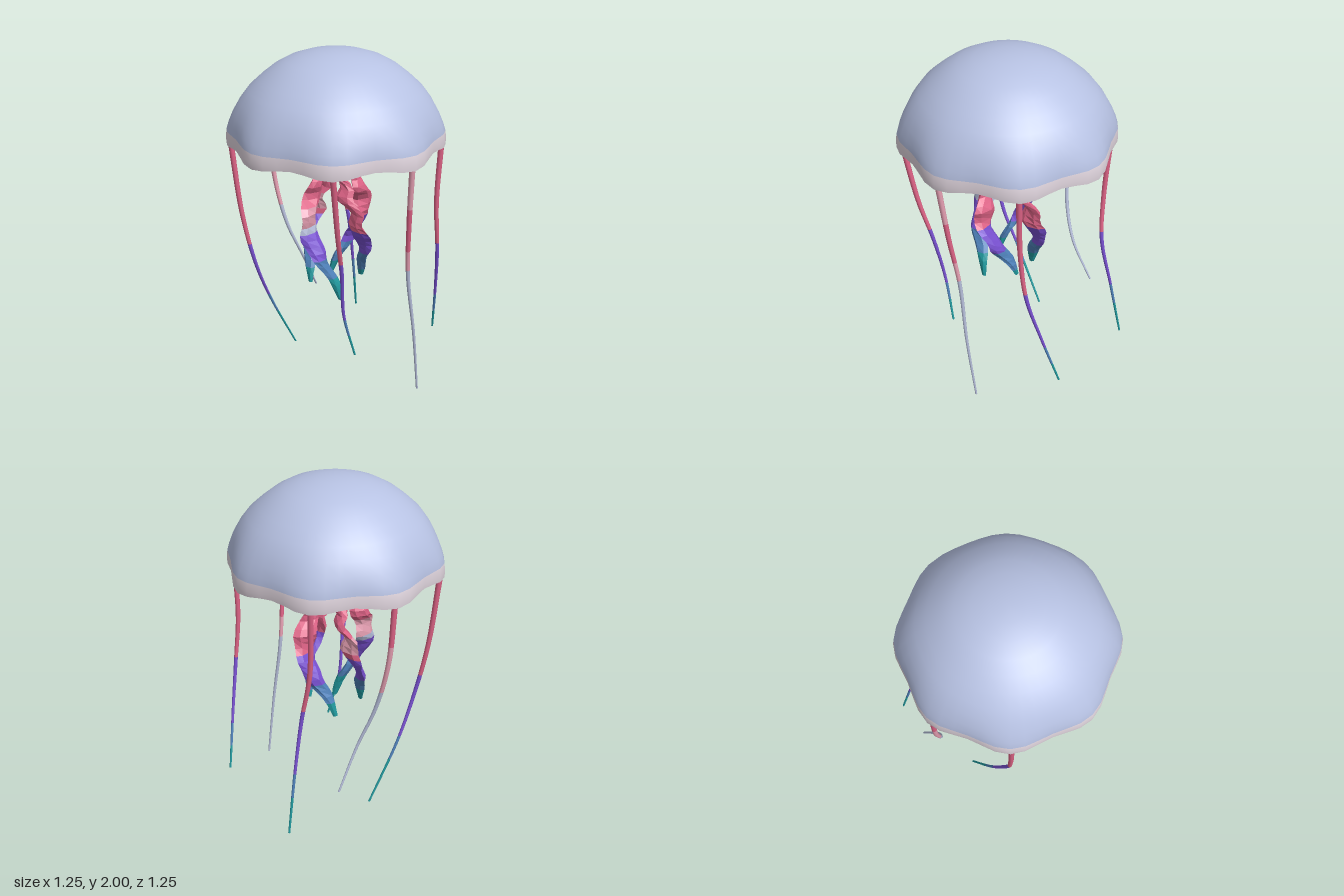
import * as THREE from 'three';
import { mergeVertices } from 'three/addons/utils/BufferGeometryUtils.js';

const mat = (name, color, side = THREE.FrontSide) => {
  const m = new THREE.MeshStandardMaterial({ color, side });
  m.name = name;
  return m;
};

const V = (x, y, z) => new THREE.Vector3(x, y, z);

// Horizontal rings lofted down a path; bands = [[lowest y, material index], ...] from the top down
function loft(points, rows, sides, ring, bands, flat) {
  const curve = new THREE.CatmullRomCurve3(points);
  const pos = [], index = [], geo = new THREE.BufferGeometry();
  for (let i = 0; i <= rows; i++) {
    const t = i / rows, p = curve.getPoint(t), { a, b, yaw = 0, shift = 0 } = ring(t, i);
    for (let j = 0; j < sides; j++) {
      const th = (j / sides) * Math.PI * 2;
      const u = a * Math.cos(th), v = b * Math.sin(th);
      pos.push(p.x + shift + u * Math.cos(yaw) - v * Math.sin(yaw), p.y,
        p.z + u * Math.sin(yaw) + v * Math.cos(yaw));
    }
    if (i === rows) break;
    const midY = curve.getPoint((i + 0.5) / rows).y;
    geo.addGroup(index.length, sides * 6, bands.find(([low]) => midY > low)[1]);
    for (let j = 0; j < sides; j++) {
      const k = (j + 1) % sides, A = i * sides + j, B = i * sides + k;
      index.push(A, B, A + sides, B, B + sides, A + sides);
    }
  }
  geo.setAttribute('position', new THREE.Float32BufferAttribute(pos, 3));
  geo.setIndex(index);
  const out = flat ? geo.toNonIndexed() : geo;
  out.computeVertexNormals();
  return out;
}

export function createModel() {
  const root = new THREE.Group();
  root.name = 'jellyfish';
  const bellBlue = mat('bellBlue', 0xb7c2e3, THREE.DoubleSide);
  const rimPink = mat('rimPalePink', 0xe0d5de, THREE.DoubleSide);
  const pink = mat('pink', 0xde6386), palePink = mat('palePink', 0xe6a0b3);
  const purple = mat('purple', 0x7850d0), blue = mat('blue', 0x4f82bb);
  const teal = mat('teal', 0x219a9f), lavender = mat('lavender', 0xb4bcd8);
  const palette = [pink, palePink, purple, blue, teal, lavender];
  const add = (name, geo, material, parent = root) => {
    const m = new THREE.Mesh(geo, material);
    m.name = name;
    parent.add(m);
    return m;
  };

  // Bell: lathe with eight scallops that grow towards the rim
  const profile = [[0.605, 1.467], [0.608, 1.5], [0.604, 1.545], [0.594, 1.59], [0.573, 1.65], [0.537, 1.72],
    [0.488, 1.787], [0.426, 1.845], [0.355, 1.902], [0.278, 1.946], [0.19, 1.977], [0.1, 1.994], [0, 2]]
    .map(([x, y]) => new THREE.Vector2(x, y));
  let bell = new THREE.LatheGeometry(profile, 48);
  bell.deleteAttribute('uv');
  bell.deleteAttribute('normal');
  const bp = bell.attributes.position;
  for (let i = 0; i < bp.count; i++) {
    const x = bp.getX(i), y = bp.getY(i), z = bp.getZ(i);
    const lobe = Math.cos(8 * Math.atan2(z, x));
    const spread = 1 + 0.03 * lobe * Math.min(1, ((2 - y) / 0.47) ** 3);
    bp.setXYZ(i, x * spread, y - 0.013 * lobe * ((2 - y) / 0.535) ** 8, z * spread);
  }
  bell = mergeVertices(bell, 1e-4);
  bell.computeVertexNormals();
  // The two lowest rows are the pale rim
  const perSegment = (profile.length - 1) * 6;
  for (let i = 0; i < 48; i++) {
    bell.addGroup(i * perSegment, 12, 1);
    bell.addGroup(i * perSegment + 12, perSegment - 12, 0);
  }
  add('bell', bell, [bellBlue, rimPink]);

  // Stomach inside the bell, with a ragged pale and blue patch
  const stomach = new THREE.Group();
  stomach.name = 'stomach';
  stomach.position.y = 1.69;
  stomach.scale.set(0.37, 0.22, 0.37);
  root.add(stomach);
  add('stomachBody', new THREE.SphereGeometry(1, 40, 24), pink, stomach);
  const patch = (name, size, phi, theta, w, h, m) => add(name,
    new THREE.SphereGeometry(size, 10, 8, phi - w, 2 * w, theta - h, 2 * h), m, stomach);
  patch('stomachPalePatch', 1.008, 4.32, 2.2, 0.22, 0.2, palePink);
  patch('stomachPalePatch', 1.01, 4.58, 2.08, 0.24, 0.17, palePink);
  patch('stomachBluePatch', 1.014, 4.33, 2.2, 0.14, 0.13, blue);
  patch('stomachBluePatch', 1.016, 4.57, 2.06, 0.18, 0.09, blue);
  add('mouthStalk', new THREE.CylinderGeometry(0.088, 0.063, 0.22, 20), pink).position.y = 1.41;

  // Radial canals between the stomach and the rim
  const canal = new THREE.TubeGeometry(new THREE.CatmullRomCurve3([
    V(0.33, 1.72, 0), V(0.42, 1.735, 0), V(0.5, 1.68, 0), V(0.55, 1.59, 0), V(0.57, 1.5, 0)]), 16, 0.009, 6);
  for (let i = 0; i < 8; i++) add('radialCanal', canal, teal).rotation.y = (i + 0.5) * Math.PI / 4;

  // Four ruffled oral arms, leaning outward along their own x axis and curling sideways at the tip
  const armPath = [[0.045, 1.39, 0.03], [0.08, 1.31, 0.065], [0.11, 1.24, 0.03], [0.145, 1.16, 0.06],
    [0.185, 1.08, 0.015], [0.198, 1.0, 0.025], [0.2, 0.92, -0.01], [0.19, 0.84, -0.055],
    [0.15, 0.76, -0.075], [0.105, 0.67, -0.11], [0.08, 0.57, -0.13]];
  const width = [0.025, 0.04, 0.045, 0.06, 0.07, 0.07, 0.062, 0.054, 0.046, 0.036, 0.016];
  const plain = [[0.98, 0], [0.8, 2], [0.67, 3], [-1, 4]];
  const paleBand = [[1.11, 0], [1.0, 1], [0.98, 0], [0.8, 2], [0.67, 3], [-1, 4]];
  const lightBand = [[1.1, 0], [1.0, 1], [0.95, 5], [0.8, 2], [0.67, 3], [-1, 4]];
  [plain, plain, paleBand, lightBand].forEach((bands, n) => {
    const drop = [-0.05, 0, -0.03, 0.03][n];
    const points = armPath.map(([x, y, z]) => V(x, y - drop * ((1.39 - y) / 0.82) ** 2, z));
    const ring = (t, i) => {
      const s = Math.min(t * 10, 9.999), k = Math.floor(s);
      const w = width[k] + (width[k + 1] - width[k]) * (s - k);
      return {
        a: w, b: Math.min(0.024, w * 0.65), yaw: 0.3 * Math.sin(i * 0.8 + n),
        shift: 0.018 * Math.sin(i * 1.57 + 0.5) * (1 - t),
      };
    };
    add('oralArm', loft(points, 22, 6, ring, bands, true), palette).rotation.y = n * Math.PI / 2;
  });

  // Six trailing tentacles
  const banded = [[0.83, 0], [0.45, 2], [0.3, 3], [-1, 4]];
  const tentacles = [
    [[[-0.59, 1.48, 0], [-0.57, 1.1, -0.02], [-0.51, 0.8, -0.06], [-0.465, 0.56, -0.15], [-0.48, 0.31, -0.28]],
      [[1.2, 0], [0.93, 1], [-1, 5]]],
    [[[-0.42, 1.48, -0.42], [-0.385, 1.05, -0.41], [-0.345, 0.77, -0.44], [-0.37, 0.45, -0.505],
      [-0.405, 0.09, -0.57]], banded],
    [[[-0.42, 1.48, 0.43], [-0.385, 1.02, 0.39], [-0.35, 0.7, 0.33], [-0.36, 0.42, 0.21], [-0.35, 0.05, 0.02]],
      banded],
    [[[0.43, 1.48, -0.42], [0.412, 1.1, -0.415], [0.4, 0.8, -0.45], [0.34, 0.5, -0.515], [0.26, 0.17, -0.59]],
      banded],
    [[[0.42, 1.48, 0.42], [0.385, 1.1, 0.35], [0.345, 0.83, 0.28], [0.31, 0.55, 0.23], [0.33, 0.28, 0.16]],
      [[0.91, 0], [0.52, 2], [0.42, 3], [-1, 4]]],
    [[[0.597, 1.48, 0], [0.555, 1.1, -0.03], [0.52, 0.78, -0.07], [0.53, 0.4, -0.12], [0.52, 0, -0.175]],
      [[1.2, 1], [0.93, 0], [0.82, 1], [-1, 5]]],
  ];
  for (const [path, bands] of tentacles) {
    const ring = (t) => ({ a: 0.017 - 0.011 * t, b: 0.017 - 0.011 * t });
    add('tentacle', loft(path.map((p) => V(...p)), 40, 8, ring, bands, false), palette);
  }
  return root;
}
